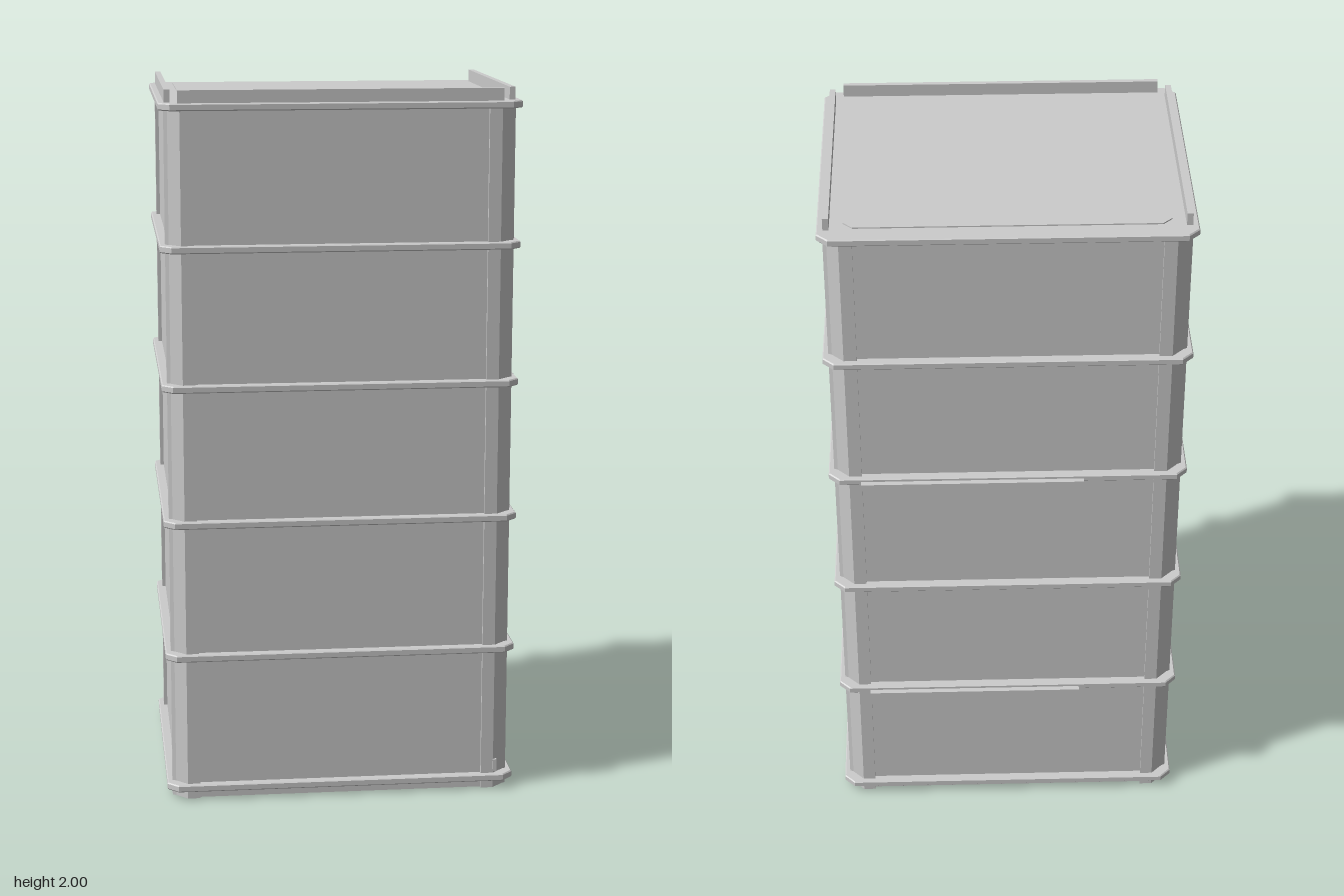
import * as THREE from 'three';

const CZ = 0.005; // depth centre of the tower
const material = new THREE.MeshStandardMaterial({ color: 0xcccccc, flatShading: true });

// Rectangle outline with cut corners
function cutRect(hw, hd, c) {
  return new THREE.Shape([
    [hw - c, -hd], [hw, -hd + c], [hw, hd - c], [hw - c, hd],
    [-hw + c, hd], [-hw, hd - c], [-hw, -hd + c], [-hw + c, -hd],
  ].map(([x, z]) => new THREE.Vector2(x, z)));
}

// Upright prism from a plan outline
function prism(shape, y0, y1, bevel = 0) {
  const geo = new THREE.ExtrudeGeometry(shape, {
    depth: y1 - y0 - 2 * bevel, bevelEnabled: bevel > 0, bevelSize: bevel,
    bevelThickness: bevel, bevelOffset: -bevel, bevelSegments: 1,
  });
  geo.rotateX(-Math.PI / 2);
  geo.translate(0, y0 + bevel, CZ);
  return geo;
}

function box(x0, x1, y0, y1, z0, z1) {
  const geo = new THREE.BoxGeometry(x1 - x0, y1 - y0, z1 - z0);
  geo.translate((x0 + x1) / 2, (y0 + y1) / 2, (z0 + z1) / 2);
  return geo;
}

export function createModel() {
  const model = new THREE.Group();
  const add = (name, geo) => {
    const mesh = new THREE.Mesh(geo, material);
    mesh.name = name;
    model.add(mesh);
  };

  // Wall core
  add('walls', prism(cutRect(0.47, 0.375, 0.04), 0, 1.95));

  // Chamfered corner posts standing slightly proud of the walls
  const post = [[0.403, 0.34], [0.403, 0.385], [0.438, 0.385], [0.443, 0.38], [0.47, 0.353],
    [0.48, 0.348], [0.48, 0.312], [0.43, 0.312]];
  for (const sx of [-1, 1]) {
    for (const sz of [-1, 1]) {
      const outline = post.map(([x, z]) => new THREE.Vector2(x * sx, z * sz));
      add('cornerPost', prism(new THREE.Shape(outline), 0, 1.95));
    }
  }

  // Floor bands and roof slab
  for (let i = 0; i < 6; i++) {
    const y = 0.034 + i * 0.3843;
    add(i === 5 ? 'roofSlab' : 'floorBand', prism(cutRect(0.495, 0.4, 0.03), y - 0.01, y + 0.01, 0.003));
  }
  add('roofPanel', prism(cutRect(0.427, 0.344, 0.025), 1.96, 1.969));

  // Parapets on the two sides and the front
  for (const s of [-1, 1]) {
    add('sideParapet', box(s * 0.47 - 0.008, s * 0.47 + 0.008, 1.96, 2, -0.345, 0.355));
  }
  add('frontParapet', box(-0.443, 0.441, 1.96, 2, 0.376, 0.39));

  // Ledges at the back
  for (const y of [0.411, 1.18]) {
    add('backLedge', box(-0.208, 0.405, y - 0.008, y + 0.008, -0.41, -0.37));
  }

  // Small fitting at the foot of the front corner
  add('cornerFitting', box(0.436, 0.448, 0.05, 0.085, 0.37, 0.392));

  return model;
}
